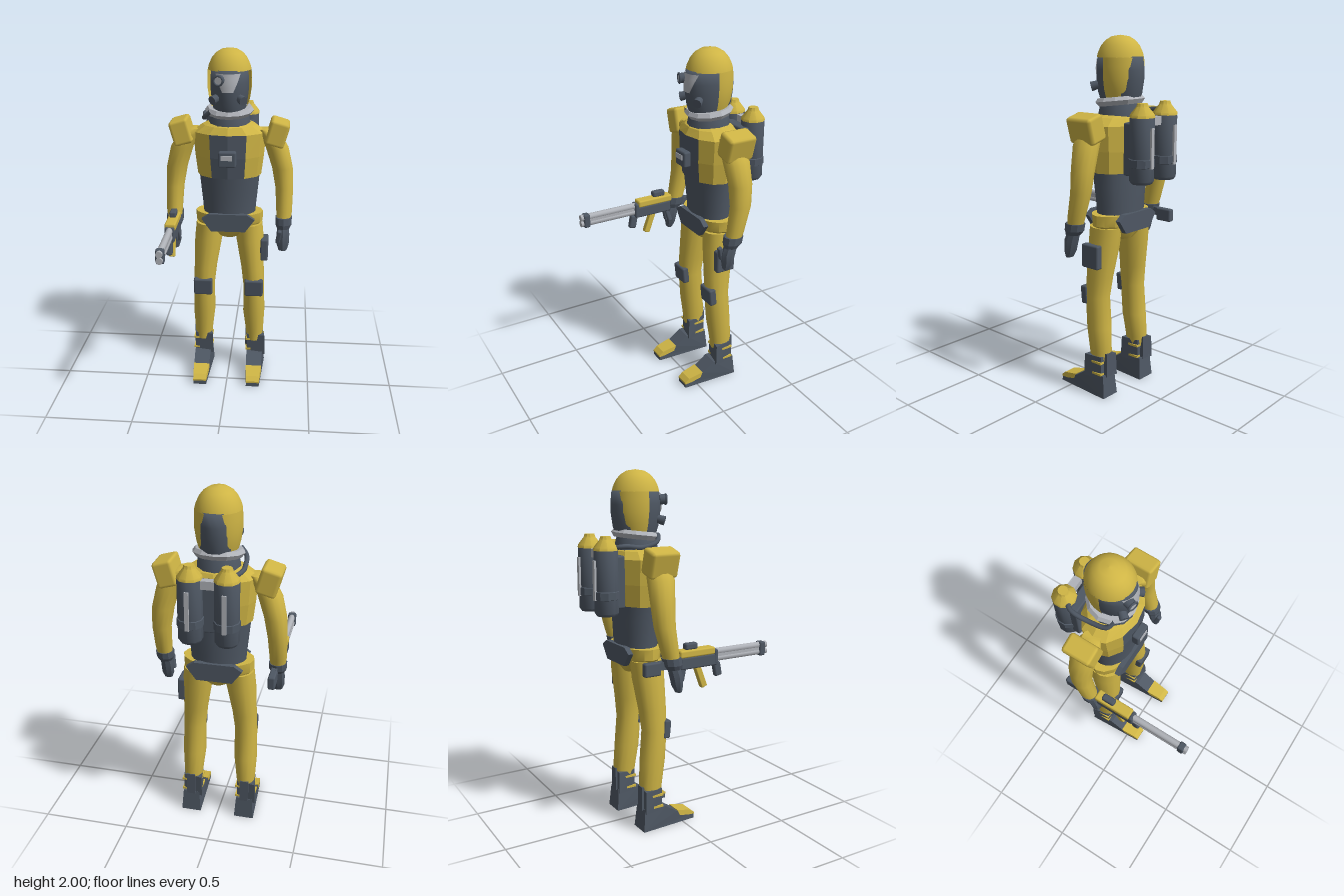
import * as THREE from 'three';
import { toCreasedNormals } from 'three/addons/utils/BufferGeometryUtils.js';
import { RoundedBoxGeometry } from 'three/addons/geometries/RoundedBoxGeometry.js';

const mat = (name, color, side = THREE.FrontSide) => {
  const m = new THREE.MeshStandardMaterial({ color, side });
  m.name = name;
  return m;
};

export function createModel() {
  const yellow = mat('suitYellow', 0xcfb545, THREE.DoubleSide);
  const dark = mat('slateRubber', 0x4e5763);
  const grey = mat('lightMetal', 0xb0b3b9, THREE.DoubleSide);
  const model = new THREE.Group();
  model.name = 'hazardSuitTrooper';

  const add = (name, geo, material, x = 0, y = 0, z = 0, rx = 0, ry = 0, rz = 0) => {
    const m = new THREE.Mesh(geo, material);
    m.name = name;
    m.position.set(x, y, z);
    m.rotation.set(rx, ry, rz);
    model.add(m);
    return m;
  };
  const box = (name, material, w, h, d, x, y, z, rx = 0, ry = 0, rz = 0) =>
    add(name, new THREE.BoxGeometry(w, h, d), material, x, y, z, rx, ry, rz);
  const soft = (name, material, w, h, d, x, y, z, rx = 0, ry = 0, rz = 0, r = 0.01) =>
    add(name, new RoundedBoxGeometry(w, h, d, 1, r), material, x, y, z, rx, ry, rz);
  const lathe = (pts, n, start = 0, len = Math.PI * 2) =>
    new THREE.LatheGeometry(pts.map(([r, y]) => new THREE.Vector2(r, y)), n, start, len);

  // Elliptical cross-sections [x, y, z, rx, rz], listed upwards; pick(i, angle) chooses a material
  const loft = (rings, n, crease = 0.8, pick = () => 0) => {
    const pos = [], idx = [], g = new THREE.BufferGeometry();
    for (const [x, y, z, rx, rz] of rings)
      for (let j = 0; j < n; j++) {
        const a = (j / n) * Math.PI * 2;
        pos.push(x + rx * Math.sin(a), y, z + rz * Math.cos(a));
      }
    const last = rings.length - 1, base = rings.length * n;
    pos.push(...rings[0].slice(0, 3), ...rings[last].slice(0, 3));
    for (let i = 0; i < last; i++)
      for (let j = 0; j < n; j++) {
        const k = (j + 1) % n, a = i * n + j, b = i * n + k;
        g.addGroup(idx.length, 6, pick(i, ((j + 0.5) / n) * Math.PI * 2));
        idx.push(a, b, b + n, a, b + n, a + n);
      }
    g.addGroup(idx.length, n * 6, 0);
    for (let j = 0; j < n; j++) {
      const k = (j + 1) % n;
      idx.push(base, k, j, base + 1, last * n + j, last * n + k);
    }
    g.setAttribute('position', new THREE.Float32BufferAttribute(pos, 3));
    g.setIndex(idx);
    return toCreasedNormals(g, crease);
  };

  // Side profile [z, y] extruded across x
  const sideExtrude = (pts, width) => {
    const g = new THREE.ExtrudeGeometry(new THREE.Shape(pts.map(([z, y]) => new THREE.Vector2(-z, y))),
      { depth: width, bevelEnabled: false });
    return g.translate(0, 0, -width / 2).rotateY(Math.PI / 2);
  };

  // Torso
  add('chest', loft([
    [0, 1.28, -0.18, 0.185, 0.13], [0, 1.4, -0.18, 0.2, 0.145], [0, 1.535, -0.18, 0.21, 0.147],
    [0, 1.575, -0.18, 0.155, 0.125], [0, 1.6, -0.18, 0.075, 0.08]], 12, 0.02,
  (i, a) => (i < 2 && Math.cos(a) > 0.9 ? 1 : 0)), [yellow, dark]);
  add('waist', loft([
    [0, 1.0, -0.19, 0.15, 0.11], [0, 1.1, -0.19, 0.158, 0.113],
    [0, 1.2, -0.187, 0.168, 0.12], [0, 1.29, -0.183, 0.177, 0.124]], 20), dark);
  soft('chestUnit', dark, 0.1, 0.09, 0.045, 0, 1.407, -0.018);
  box('chestDisplay', grey, 0.065, 0.028, 0.006, -0.004, 1.418, 0.006);

  // Pelvis and belt plates
  add('pelvis', loft([
    [0, 0.9, -0.19, 0.06, 0.07], [0, 0.95, -0.19, 0.16, 0.1], [0, 0.99, -0.19, 0.198, 0.115],
    [0, 1.05, -0.19, 0.2, 0.12]], 16, 0.6), yellow);
  const belt = new THREE.Shape([[-0.155, 1.03], [-0.1, 0.955], [0.1, 0.955], [0.155, 1.03], [0.11, 1.06], [-0.11, 1.06]]
    .map(p => new THREE.Vector2(...p)));
  for (const s of [1, -1]) {
    const g = new THREE.ExtrudeGeometry(belt, { depth: 0.03, bevelEnabled: false });
    add(s > 0 ? 'frontBelt' : 'backBelt', g, dark, 0, 0, -0.19 + s * 0.097, 0, s > 0 ? 0 : Math.PI);
  }

  // Neck, collar and helmet
  add('neck', lathe([[0.12, 1.58], [0.11, 1.63], [0.09, 1.68]], 12), dark, 0, 0, -0.18);
  add('collarRing', toCreasedNormals(lathe(
    [[0.1, -0.02], [0.122, -0.022], [0.14, 0.002], [0.125, 0.022], [0.1, 0.022]], 12), 0.3),
  grey, 0, 1.655, -0.18, 0.12).scale.z = 0.96;
  add('hoodDome', lathe([[0.122, 1.885], [0.116, 1.91], [0.1, 1.945], [0.077, 1.973], [0.045, 1.993], [0, 2]], 24),
    yellow, 0, 0, -0.18).scale.z = 1.06;
  add('hoodBack', lathe([[0.1, 1.67], [0.115, 1.72], [0.124, 1.78], [0.125, 1.84], [0.122, 1.886]], 18,
    1.46, Math.PI * 2 - 2.92), yellow, 0, 0, -0.18).scale.z = 1.06;
  const faceProfile = [[0.8, 1.65], [0.92, 1.7], [0.99, 1.77], [1, 1.82], [0.95, 1.89], [0, 1.9]];
  add('faceMask', lathe(faceProfile, 20), dark, 0, 0, -0.18).scale.set(0.109, 1, 0.142);
  // Visor patch wrapped over the mask, narrowing downwards
  const visor = new THREE.PlaneGeometry(1, 1, 12, 4), vp = visor.attributes.position;
  for (let i = 0; i < vp.count; i++) {
    const v = vp.getY(i) + 0.5, phi = vp.getX(i) * (0.55 + 0.85 * v);
    const r = 1.025 - 0.045 * Math.max(0, v - 0.5) * 2;
    vp.setXYZ(i, 0.109 * r * Math.sin(phi), 1.775 + 0.1 * v, -0.18 + 0.144 * r * Math.cos(phi));
  }
  visor.computeVertexNormals();
  add('visor', visor, grey);
  add('eyepieceBody', new THREE.CylinderGeometry(0.026, 0.03, 0.035, 12), dark, -0.045, 1.842, -0.04, Math.PI / 2, 0, 0.3);
  add('eyepieceRim', new THREE.TorusGeometry(0.026, 0.006, 6, 14), dark, -0.05, 1.842, -0.022, 0, -0.3);
  add('eyepieceLens', new THREE.CircleGeometry(0.023, 14), grey, -0.05, 1.842, -0.021, 0, -0.3);
  for (const s of [1, -1]) {
    const f = add('maskFilter', new THREE.CylinderGeometry(0.026, 0.022, 0.05, 10), dark, s * 0.072, 1.735, -0.068);
    f.quaternion.setFromUnitVectors(new THREE.Vector3(0, 1, 0), new THREE.Vector3(s * 0.6, -0.25, 0.75).normalize());
  }

  // Limbs, mirrored
  for (const s of [1, -1]) {
    add('leg', loft([
      [s * 0.16, 0.2, -0.187, 0.05, 0.06], [s * 0.159, 0.26, -0.187, 0.055, 0.068],
      [s * 0.154, 0.4, -0.172, 0.067, 0.073], [s * 0.152, 0.58, -0.158, 0.064, 0.073],
      [s * 0.143, 0.7, -0.165, 0.069, 0.08], [s * 0.125, 0.88, -0.18, 0.083, 0.092],
      [s * 0.118, 0.98, -0.185, 0.08, 0.095]], 14), yellow);
    soft('kneePad', dark, 0.112, 0.105, 0.045, s * 0.154, 0.583, -0.102, 0.1);

    // Boot: tapered foot, toe cap, shaft and straps
    const taper = g => {
      const p = g.attributes.position;
      for (let i = 0; i < p.count; i++) {
        const t = THREE.MathUtils.clamp((p.getZ(i) + 0.1) / 0.18, 0, 1);
        const top = 1 - 0.17 * Math.min(1, p.getY(i) / 0.13);
        p.setX(i, p.getX(i) * (1 - 0.32 * t) * top);
      }
      g.computeVertexNormals();
      return g;
    };
    add('foot', taper(sideExtrude([[0.08, 0], [0.08, 0.03], [0.055, 0.052], [-0.04, 0.073], [-0.115, 0.125],
      [-0.25, 0.13], [-0.262, 0]], 0.116)), dark, s * 0.162);
    add('toeCap', taper(sideExtrude([[0.083, 0.025], [0.083, 0.035], [0.057, 0.058], [-0.035, 0.078], [-0.02, 0.045],
      [0.04, 0.03]], 0.121)), yellow, s * 0.162);
    add('bootShaft', loft([
      [s * 0.162, 0.11, -0.187, 0.066, 0.094], [s * 0.162, 0.24, -0.187, 0.066, 0.088]], 4, 0.02)
      .translate(-s * 0.162, 0, 0.187).rotateY(Math.PI / 4).translate(s * 0.162, 0, -0.187), dark);
    box('bootHeelStrip', dark, 0.05, 0.14, 0.02, s * 0.162, 0.19, -0.247);
    for (const y of [0.137, 0.205]) box('bootStrap', yellow, 0.114, 0.013, 0.1, s * 0.162, y, -0.187);

    // Arm, shoulder pad and glove
    add('arm', loft([
      [s * 0.322, 0.99, -0.145, 0.04, 0.042], [s * 0.325, 1.06, -0.16, 0.047, 0.05],
      [s * 0.322, 1.2, -0.19, 0.053, 0.06], [s * 0.308, 1.32, -0.193, 0.061, 0.067],
      [s * 0.275, 1.44, -0.185, 0.066, 0.075], [s * 0.235, 1.52, -0.18, 0.06, 0.07],
      [s * 0.2, 1.55, -0.18, 0.04, 0.05]], 14), yellow);
    soft('shoulderPad', yellow, 0.112, 0.145, 0.168, s * 0.275, 1.53, -0.185, 0, 0, -s * 0.28, 0.018);
    add('gloveCuff', loft([
      [s * 0.322, 0.965, -0.135, 0.038, 0.042], [s * 0.323, 0.99, -0.143, 0.05, 0.055],
      [s * 0.323, 1.03, -0.15, 0.051, 0.056]], 10, 0.3), dark);
    add('hand', loft([
      [s * 0.322, 0.835, -0.105, 0.024, 0.018], [s * 0.322, 0.87, -0.112, 0.036, 0.03],
      [s * 0.322, 0.93, -0.12, 0.038, 0.04], [s * 0.322, 0.985, -0.138, 0.032, 0.036]], 8, 0.5), dark);
    soft('thumb', dark, 0.026, 0.085, 0.028, s * 0.297, 0.925, -0.085, 0.25, 0, s * -0.15, 0.008);

    // Air tank
    const tx = s * 0.096, tz = -0.412;
    add('airTank', toCreasedNormals(lathe([[0, 1.245], [0.055, 1.245], [0.065, 1.26], [0.065, 1.585], [0.058, 1.6]], 10), 0.75),
      dark, tx, 0, tz);
    add('tankBand', toCreasedNormals(lathe([[0.06, 1.33], [0.07, 1.335], [0.07, 1.375], [0.06, 1.38]], 10), 0.3), dark, tx, 0, tz);
    add('tankCap', toCreasedNormals(lathe([[0.067, 1.59], [0.064, 1.605], [0.032, 1.645], [0.027, 1.662], [0, 1.662]], 10), 0.5),
      yellow, tx, 0, tz);
    box('tankGauge', grey, 0.022, 0.21, 0.014, tx, 1.435, tz - 0.066);
  }
  soft('thighPouch', dark, 0.045, 0.135, 0.117, 0.212, 0.823, -0.167);

  // Backpack frame, connector and hose
  soft('backPlate', dark, 0.27, 0.28, 0.065, 0, 1.42, -0.35);
  box('tankConnector', grey, 0.1, 0.045, 0.04, 0, 1.565, -0.414);
  add('airHose', new THREE.TubeGeometry(new THREE.CatmullRomCurve3([
    [-0.1, 1.59, -0.37], [-0.135, 1.605, -0.36], [-0.152, 1.61, -0.32], [-0.147, 1.6, -0.22],
    [-0.135, 1.625, -0.125], [-0.1, 1.66, -0.1]].map(p => new THREE.Vector3(...p))), 24, 0.013, 8), dark);

  // Rifle held at the right side
  const gx = -0.313;
  soft('gunStock', dark, 0.04, 0.075, 0.1, gx, 0.978, -0.263);
  box('gunStockBar', dark, 0.034, 0.045, 0.14, gx, 0.992, -0.15);
  soft('gunReceiver', dark, 0.055, 0.068, 0.24, gx, 0.988, 0.022);
  soft('gunTopCover', yellow, 0.064, 0.042, 0.225, gx, 1.04, 0.008);
  soft('gunSight', dark, 0.04, 0.036, 0.078, gx, 1.077, -0.024);
  soft('gunCollar', dark, 0.058, 0.085, 0.025, gx, 1.003, 0.13);
  for (const y of [0.99, 1.027])
    add('gunBarrel', new THREE.CylinderGeometry(0.019, 0.019, 0.35, 10), grey, gx, y, 0.312, Math.PI / 2);
  box('gunBarrelCore', grey, 0.03, 0.04, 0.32, gx, 1.008, 0.3);
  soft('gunMuzzle', dark, 0.048, 0.082, 0.04, gx, 1.007, 0.452);
  soft('gunForegrip', dark, 0.034, 0.08, 0.045, gx, 0.928, 0.15, -0.2);
  soft('gunMagazine', yellow, 0.034, 0.13, 0.036, gx, 0.9, 0.04, -0.36, 0, 0, 0.006);
  soft('gunGrip', dark, 0.03, 0.09, 0.04, gx, 0.93, -0.08, 0.2);

  return model;
}
